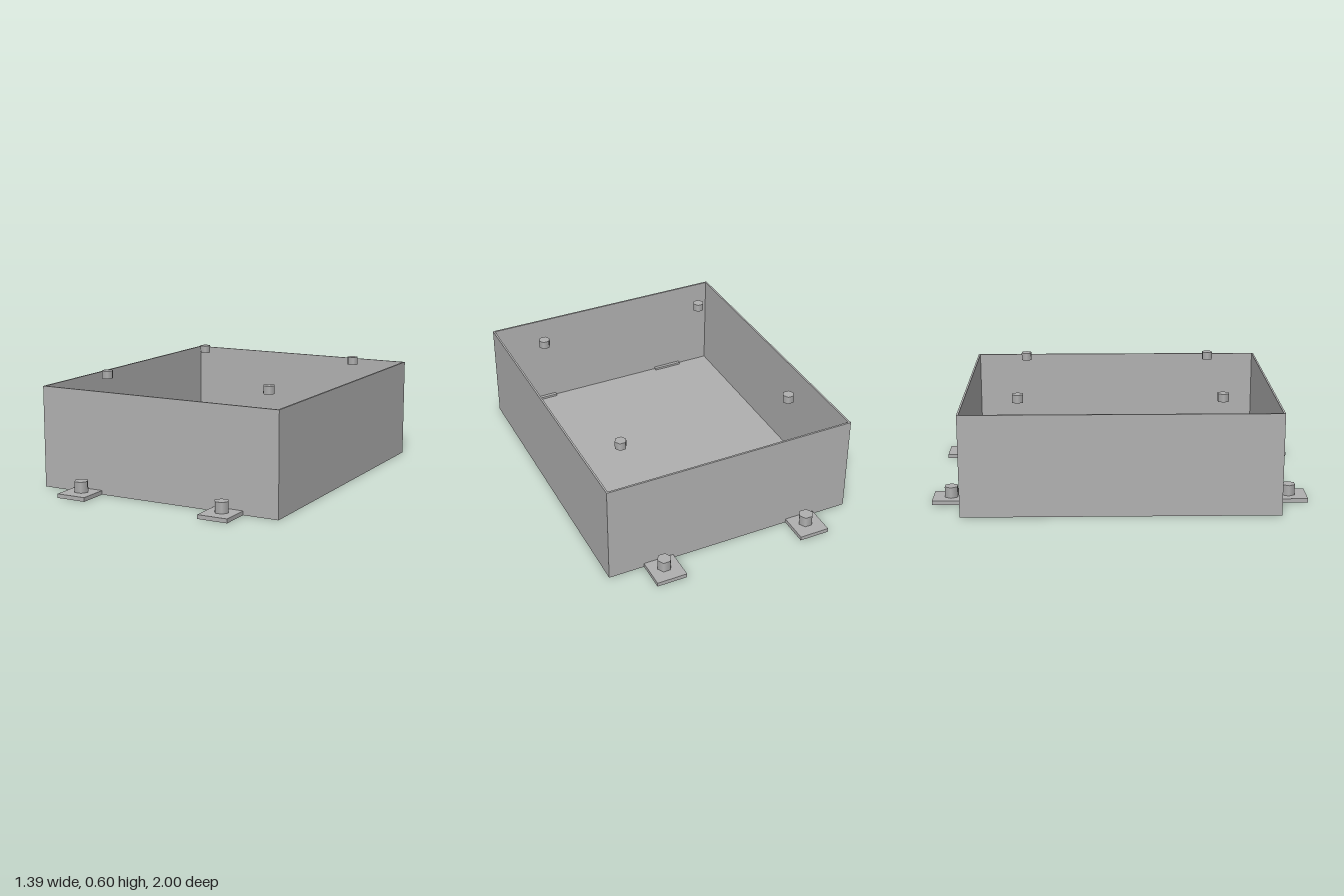
import * as THREE from 'three';

const W = 1.39, D = 1.67, H = 0.547, T = 0.01; // tray size and sheet thickness

export function createModel() {
  const model = new THREE.Group();
  model.name = 'mountingTray';
  const metal = new THREE.MeshStandardMaterial({ color: 0xb0b0b0 });
  metal.name = 'greyMetal';

  const add = (name, geometry, x, y, z) => {
    const mesh = new THREE.Mesh(geometry, metal);
    mesh.name = name;
    mesh.position.set(x, y, z);
    model.add(mesh);
  };

  // Hexagonal head with corners pointing along x, standing on y = 0
  const hexHead = (radius, height) =>
    new THREE.CylinderGeometry(radius, radius, height, 6)
      .toNonIndexed().rotateY(Math.PI / 6).translate(0, height / 2, 0);

  // Thin walls as one rectangular ring, extruded upwards
  const rect = (shape, w, d) => shape
    .moveTo(-w / 2, -d / 2).lineTo(w / 2, -d / 2)
    .lineTo(w / 2, d / 2).lineTo(-w / 2, d / 2).closePath();
  const outline = new THREE.Shape();
  rect(outline, W, D);
  const opening = new THREE.Path();
  rect(opening, W - 2 * T, D - 2 * T);
  outline.holes.push(opening);
  const walls = new THREE.ExtrudeGeometry(outline, { depth: H, bevelEnabled: false });
  add('walls', walls.rotateX(-Math.PI / 2), 0, 0, 0);

  // Floor inside the walls
  add('floor', new THREE.BoxGeometry(W - 2 * T, T, D - 2 * T), 0, T / 2, 0);

  const tab = new THREE.BoxGeometry(0.166, 0.022, 0.194);
  const tabBolt = hexHead(0.039, 0.058);
  const lidBolt = hexHead(0.032, 0.043);
  for (const sx of [-1, 1]) {
    for (const sz of [-1, 1]) {
      const place = (sz > 0 ? 'front' : 'back') + (sx > 0 ? 'Left' : 'Right');
      // Mounting tabs run through the end walls and carry a bolt
      add(place + 'Tab', tab, sx * 0.417, 0.011, sz * 0.903);
      add(place + 'TabBolt', tabBolt, sx * 0.417, 0.022, sz * 0.903);
      // Loose bolts floating just above the rim
      add(place + 'LidBolt', lidBolt, sx * 0.488, 0.56, sz * 0.535);
    }
  }
  return model;
}
